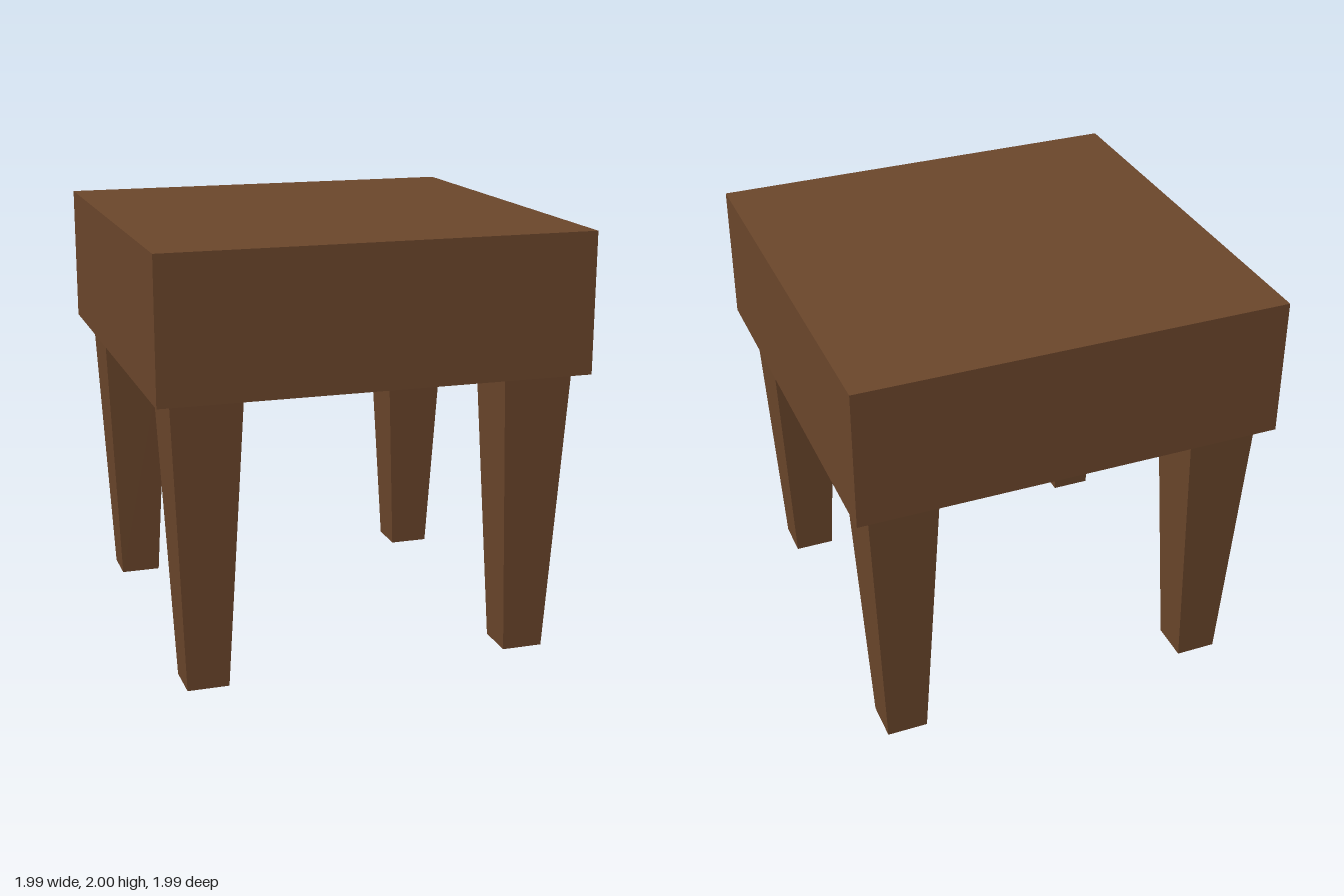
import * as THREE from 'three';

const SEAT_BASE = 1.35, HEIGHT = 2, WIDTH = 1.99;
const LEG_TOP = 0.325, LEG_FOOT = 0.193, LEG_OFFSET = 0.765;

// Square leg, narrowing evenly towards the foot
function taperedLeg() {
  const geometry = new THREE.BoxGeometry(LEG_TOP, SEAT_BASE, LEG_TOP);
  geometry.translate(0, SEAT_BASE / 2, 0);
  const p = geometry.attributes.position;
  for (let i = 0; i < p.count; i++) {
    const s = p.getY(i) < SEAT_BASE / 2 ? LEG_FOOT / LEG_TOP : 1;
    p.setX(i, p.getX(i) * s);
    p.setZ(i, p.getZ(i) * s);
  }
  geometry.computeVertexNormals();
  return geometry;
}

export function createModel() {
  const group = new THREE.Group();
  group.name = 'stool';
  const wood = new THREE.MeshStandardMaterial({ color: 0x6b462b });
  wood.name = 'brown wood';

  // Thick block seat
  const seat = new THREE.Mesh(new THREE.BoxGeometry(WIDTH, HEIGHT - SEAT_BASE, WIDTH), wood);
  seat.name = 'seat';
  seat.position.y = (HEIGHT + SEAT_BASE) / 2;
  group.add(seat);

  // Four legs, inset from the corners
  const legGeometry = taperedLeg();
  for (const x of [-1, 1]) {
    for (const z of [-1, 1]) {
      const leg = new THREE.Mesh(legGeometry, wood);
      leg.name = (z > 0 ? 'front' : 'back') + (x > 0 ? 'Left' : 'Right') + 'Leg';
      leg.position.set(x * LEG_OFFSET, 0, z * LEG_OFFSET);
      group.add(leg);
    }
  }
  return group;
}
